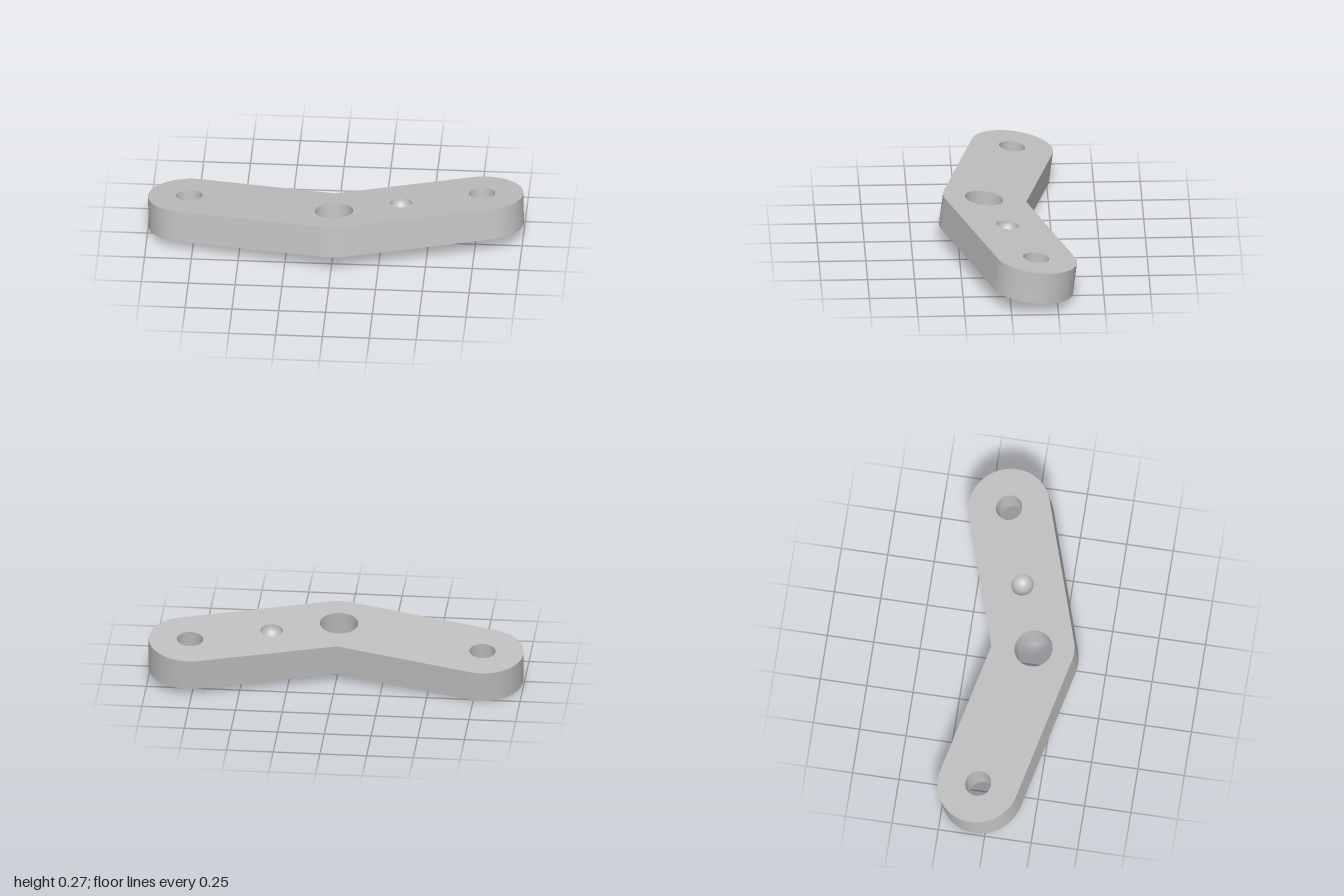
import * as THREE from 'three';
import { toCreasedNormals } from 'three/addons/utils/BufferGeometryUtils.js';

const THICK = 0.175;
const R = 0.22; // half width of the arms and radius of the rounded ends
const SEG = 32;

// Pivot centres in the plate's own plane
const left = new THREE.Vector2(-0.782, 0.07);
const middle = new THREE.Vector2(0.003, -0.112);
const right = new THREE.Vector2(0.777, 0.138);
const dimple = new THREE.Vector2().lerpVectors(middle, right, 0.452);
const DIMPLE_R = 0.06;

function addHole(shape, c, r) {
  const hole = new THREE.Path();
  hole.absarc(c.x, c.y, r, 0, Math.PI * 2, true);
  shape.holes.push(hole);
}

// Bent outline: two arms tangent to three equal circles, sharp inner corner
function plateShape() {
  const q = Math.PI / 2;
  const aL = Math.atan2(middle.y - left.y, middle.x - left.x);
  const aR = Math.atan2(right.y - middle.y, right.x - middle.x);
  const mid = (aL + aR) / 2 + q;
  const reach = R / Math.cos((aR - aL) / 2);
  const s = new THREE.Shape();
  s.absarc(left.x, left.y, R, aL + q, aL + 3 * q, false);
  s.absarc(middle.x, middle.y, R, aL - q, aR - q, false);
  s.absarc(right.x, right.y, R, aR - q, aR + q, false);
  s.lineTo(middle.x + reach * Math.cos(mid), middle.y + reach * Math.sin(mid));
  s.closePath();
  addHole(s, left, 0.07);
  addHole(s, middle, 0.102);
  addHole(s, right, 0.07);
  return s;
}

export function createModel() {
  const metal = new THREE.MeshStandardMaterial({ color: 0xbfbfbf });
  metal.name = 'grey metal';

  const model = new THREE.Group();
  model.name = 'bentLever';
  const add = (name, geometry) => {
    const mesh = new THREE.Mesh(geometry, metal);
    mesh.name = name;
    model.add(mesh);
    return mesh;
  };

  // Walls and underside: the extrusion without its upper lid
  const full = new THREE.ExtrudeGeometry(plateShape(), {
    depth: THICK, bevelEnabled: false, curveSegments: SEG,
  });
  const lids = full.groups[0].count;
  const p = full.attributes.position.array;
  const kept = [...p.slice(0, lids * 1.5), ...p.slice(lids * 3)];
  const body = new THREE.BufferGeometry();
  body.setAttribute('position', new THREE.Float32BufferAttribute(kept, 3));
  body.rotateX(-Math.PI / 2).translate(0, -THICK, 0);
  add('plateBody', toCreasedNormals(body, 0.35));

  // Upper face, which also opens onto the dimple
  const topShape = plateShape();
  addHole(topShape, dimple, DIMPLE_R);
  add('plateTop', new THREE.ShapeGeometry(topShape, SEG).rotateX(-Math.PI / 2));

  // Round-bottomed blind hole
  const profile = [];
  for (let i = 0; i <= 12; i++) {
    const a = (i / 12) * Math.PI / 2;
    profile.push(new THREE.Vector2(DIMPLE_R * Math.cos(a), -DIMPLE_R * Math.sin(a)));
  }
  add('dimple', new THREE.LatheGeometry(profile, SEG * 2))
    .position.set(dimple.x, 0, -dimple.y);

  // Slight tilt of the whole plate
  const normal = new THREE.Vector3(-0.0273, 1, -0.127).normalize();
  model.quaternion.setFromUnitVectors(new THREE.Vector3(0, 1, 0), normal);
  model.position.y = 0.231;

  const root = new THREE.Group();
  root.name = 'lever';
  root.add(model);
  return root;
}
